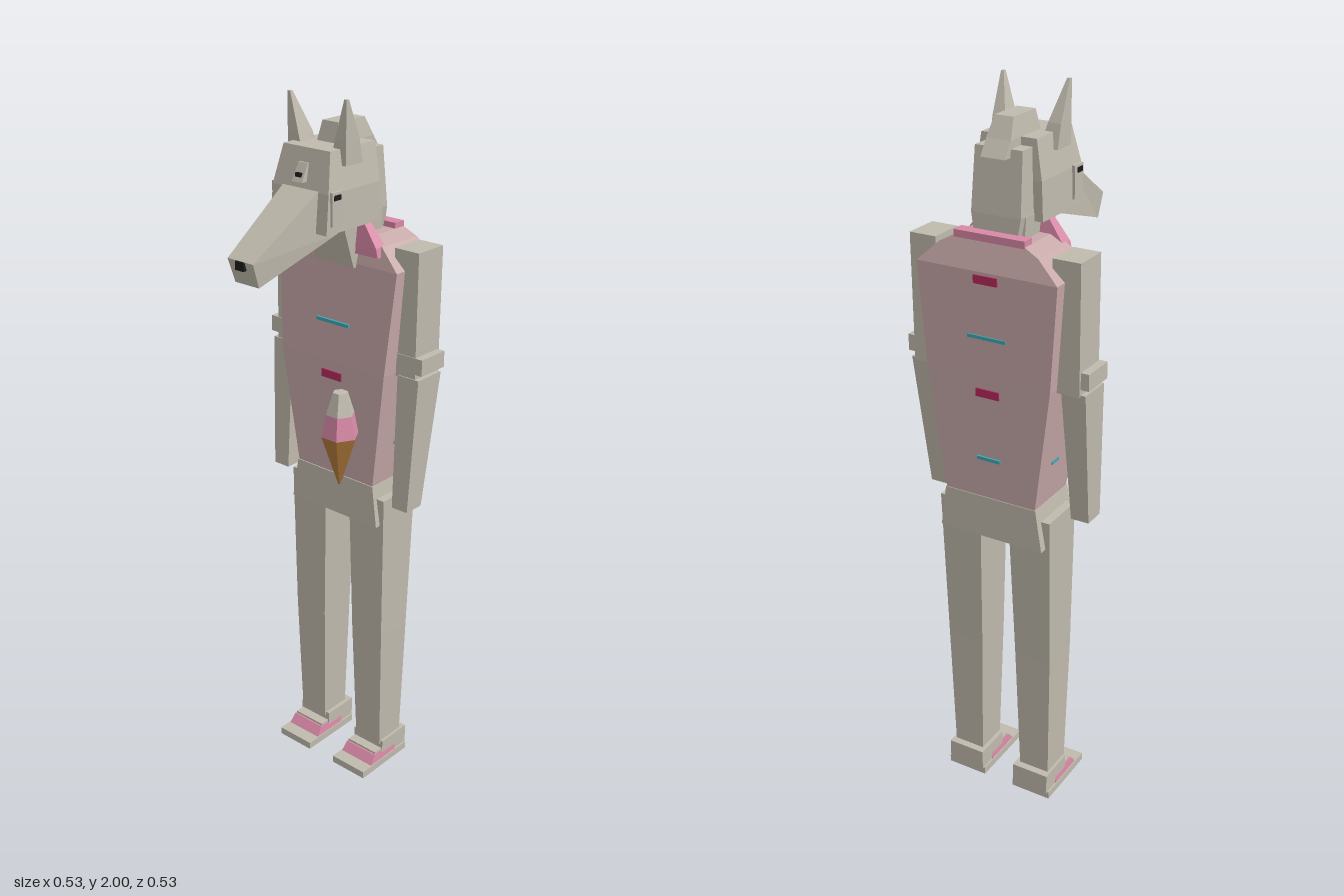
import * as THREE from 'three';

const mat = (name, color) => {
  const m = new THREE.MeshStandardMaterial({ color });
  m.name = name;
  return m;
};

export function createModel() {
  const root = new THREE.Group();
  root.name = 'wolfFigure';
  const fur = mat('warm grey', 0xc0baad);
  const shirt = mat('dusty rose', 0xc7a8a8);
  const pink = mat('pink', 0xd889a6);
  const magenta = mat('magenta', 0xb62a5e);
  const teal = mat('teal', 0x3fa9b5);
  const waffle = mat('waffle brown', 0xb0793a);
  const black = mat('near black', 0x1c1a1a);

  const add = (name, geometry, material, parent = root) => {
    const mesh = new THREE.Mesh(geometry, material);
    mesh.name = name;
    parent.add(mesh);
    return mesh;
  };

  // Faceted solid through a list of equal-length rings, capped at both ends
  const loft = (rings) => {
    const pos = [];
    const tri = (a, b, c) => pos.push(...a, ...b, ...c);
    const n = rings[0].length;
    for (let r = 0; r < rings.length - 1; r++) {
      for (let i = 0; i < n; i++) {
        const j = (i + 1) % n, a = rings[r], b = rings[r + 1];
        tri(a[i], a[j], b[j]);
        tri(a[i], b[j], b[i]);
      }
    }
    const first = rings[0], last = rings[rings.length - 1];
    for (let i = 1; i < n - 1; i++) {
      tri(first[0], first[i + 1], first[i]);
      tri(last[0], last[i], last[i + 1]);
    }
    const g = new THREE.BufferGeometry();
    g.setAttribute('position', new THREE.Float32BufferAttribute(pos, 3));
    g.computeVertexNormals();
    return g;
  };

  // Horizontal rectangles [y, x0, x1, z0, z1], optionally mirrored in x
  const stack = (sections, s = 1) => loft(sections.map(([y, p, q, z0, z1]) => {
    const x0 = Math.min(p * s, q * s), x1 = Math.max(p * s, q * s);
    return [[x0, y, z1], [x1, y, z1], [x1, y, z0], [x0, y, z0]];
  }));
  const box = (x0, x1, y0, y1, z0, z1, s = 1) =>
    stack([[y0, x0, x1, z0, z1], [y1, x0, x1, z0, z1]], s);

  // Torso and hips
  add('torso', stack([
    [0.95, -0.135, 0.135, -0.26, -0.095],
    [1.29, -0.18, 0.18, -0.263, -0.077],
    [1.57, -0.2, 0.2, -0.264, -0.095],
    [1.625, -0.14, 0.14, -0.25, -0.108],
    [1.645, -0.1, 0.1, -0.245, -0.115],
  ]), shirt);
  add('hips', stack([
    [0.83, -0.155, 0.155, -0.262, -0.09],
    [0.95, -0.137, 0.137, -0.262, -0.092],
  ]), fur);
  add('backCollar', box(-0.1, 0.1, 1.62, 1.66, -0.246, -0.21), pink);

  // Painted marks on chest and back, as [y, half width, height, front z]
  const marks = [
    [1.4, 0.055, 0.009, -0.0805, teal],
    [1.25, 0.034, 0.022, -0.077, magenta],
    [1.065, 0.034, 0.009, -0.0865, teal],
  ];
  for (const [y, w, h, z, m] of marks) {
    add('chestMark', box(-w, w, y - h / 2, y + h / 2, z - 0.006, z + 0.003), m);
    add('backMark', box(-w, w, y - h / 2, y + h / 2, -0.267, -0.26), m);
  }
  add('backMark', box(-0.034, 0.034, 1.54, 1.562, -0.267, -0.26), magenta);

  // Neck, skull and mane
  const head = new THREE.Group();
  head.name = 'head';
  root.add(head);
  add('neck', stack([
    [1.56, -0.066, 0.066, -0.2, -0.085],
    [1.7, -0.072, 0.072, -0.19, -0.03],
  ]), fur, head);
  add('skull', stack([
    [1.68, -0.095, 0.095, -0.15, 0.055],
    [1.78, -0.093, 0.093, -0.152, 0.046],
    [1.88, -0.077, 0.077, -0.148, 0.022],
  ]), fur, head);
  add('mane', stack([
    [1.64, -0.06, 0.06, -0.215, -0.14],
    [1.7, -0.07, 0.07, -0.212, -0.13],
    [1.86, -0.066, 0.066, -0.195, -0.13],
  ]), fur, head);
  add('crest', stack([
    [1.84, -0.034, 0.034, -0.222, -0.05],
    [1.88, -0.034, 0.034, -0.195, -0.055],
    [1.93, -0.026, 0.026, -0.168, -0.066],
  ]), fur, head);

  // Snout, nose and forehead stud
  add('snout', loft([
    [[-0.066, 1.665, -0.02], [0.066, 1.665, -0.02], [0.06, 1.79, 0.035], [-0.06, 1.79, 0.035]],
    [[-0.04, 1.58, 0.24], [0.04, 1.58, 0.24], [0.043, 1.645, 0.262], [-0.043, 1.645, 0.262]],
  ]), fur, head);
  add('nose', box(-0.014, 0.014, 1.622, 1.645, 0.245, 0.266), black, head);
  add('foreheadStud', stack([
    [1.8, -0.017, 0.017, 0.02, 0.058],
    [1.845, -0.015, 0.015, 0.01, 0.035],
  ]), fur, head);
  add('studMark', box(-0.009, 0.009, 1.812, 1.822, 0.045, 0.055), black, head);

  for (const s of [1, -1]) {
    // Ear, cheek and eye
    add('ear', stack([
      [1.84, 0.045, 0.095, -0.08, -0.015],
      [1.9, 0.06, 0.096, -0.066, -0.014],
      [2.0, 0.088, 0.096, -0.024, -0.015],
    ], s), fur, head);
    add('cheek', box(0.08, 0.101, 1.7, 1.785, -0.003, 0.04, s), fur, head);
    add('eye', box(0.098, 0.103, 1.765, 1.778, 0.01, 0.034, s), black, head);

    // Lapel and shoulder marks
    add('lapel', stack([
      [1.6, 0.04, 0.142, -0.125, -0.088],
      [1.625, 0.045, 0.136, -0.125, -0.088],
      [1.68, 0.06, 0.095, -0.118, -0.092],
    ], s), pink);
    add('shoulderMark', box(0.163, 0.169, 1.596, 1.604, -0.207, -0.17, s), teal);
    add('sideMark', box(0.146, 0.152, 1.06, 1.069, -0.2, -0.165, s), teal);

    // Arm
    add('upperArm', box(0.166, 0.243, 1.28, 1.625, -0.228, -0.128, s), fur);
    add('elbowBand', box(0.18, 0.266, 1.3, 1.345, -0.222, -0.126, s), fur);
    add('forearm', stack([
      [0.9, 0.193, 0.245, -0.172, -0.11],
      [1.285, 0.188, 0.257, -0.222, -0.125],
    ], s), fur);

    // Leg
    add('leg', stack([
      [0.07, 0.064, 0.155, -0.225, -0.13],
      [0.46, 0.054, 0.163, -0.23, -0.115],
      [0.91, 0.043, 0.168, -0.242, -0.105],
    ], s), fur);

    // Foot
    const foot = new THREE.Group();
    foot.name = s > 0 ? 'leftFoot' : 'rightFoot';
    root.add(foot);
    add('sole', box(0.047, 0.168, 0, 0.022, -0.242, -0.04, s), fur, foot);
    add('shoeSide', stack([
      [0.022, 0.05, 0.165, -0.195, -0.08],
      [0.048, 0.053, 0.162, -0.195, -0.1],
    ], s), pink, foot);
    add('shoeTop', box(0.055, 0.16, 0.046, 0.054, -0.195, -0.105, s), fur, foot);
    add('heel', box(0.052, 0.163, 0.02, 0.08, -0.246, -0.135, s), fur, foot);
  }

  // Floating six-sided ice cream cone
  const cone = new THREE.Group();
  cone.name = 'iceCreamCone';
  cone.position.set(0.187, 0, 0.105);
  root.add(cone);
  const tier = (name, y0, y1, r0, r1, m) => {
    const g = new THREE.CylinderGeometry(r1, r0, y1 - y0, 6).toNonIndexed();
    g.rotateY(Math.PI / 6);
    g.translate(0, (y0 + y1) / 2, 0);
    g.computeVertexNormals();
    add(name, g, m, cone);
  };
  tier('wafer', 1.05, 1.19, 0.003, 0.05, waffle);
  tier('scoop', 1.19, 1.25, 0.05, 0.038, pink);
  tier('topping', 1.25, 1.308, 0.038, 0.02, fur);

  return root;
}
